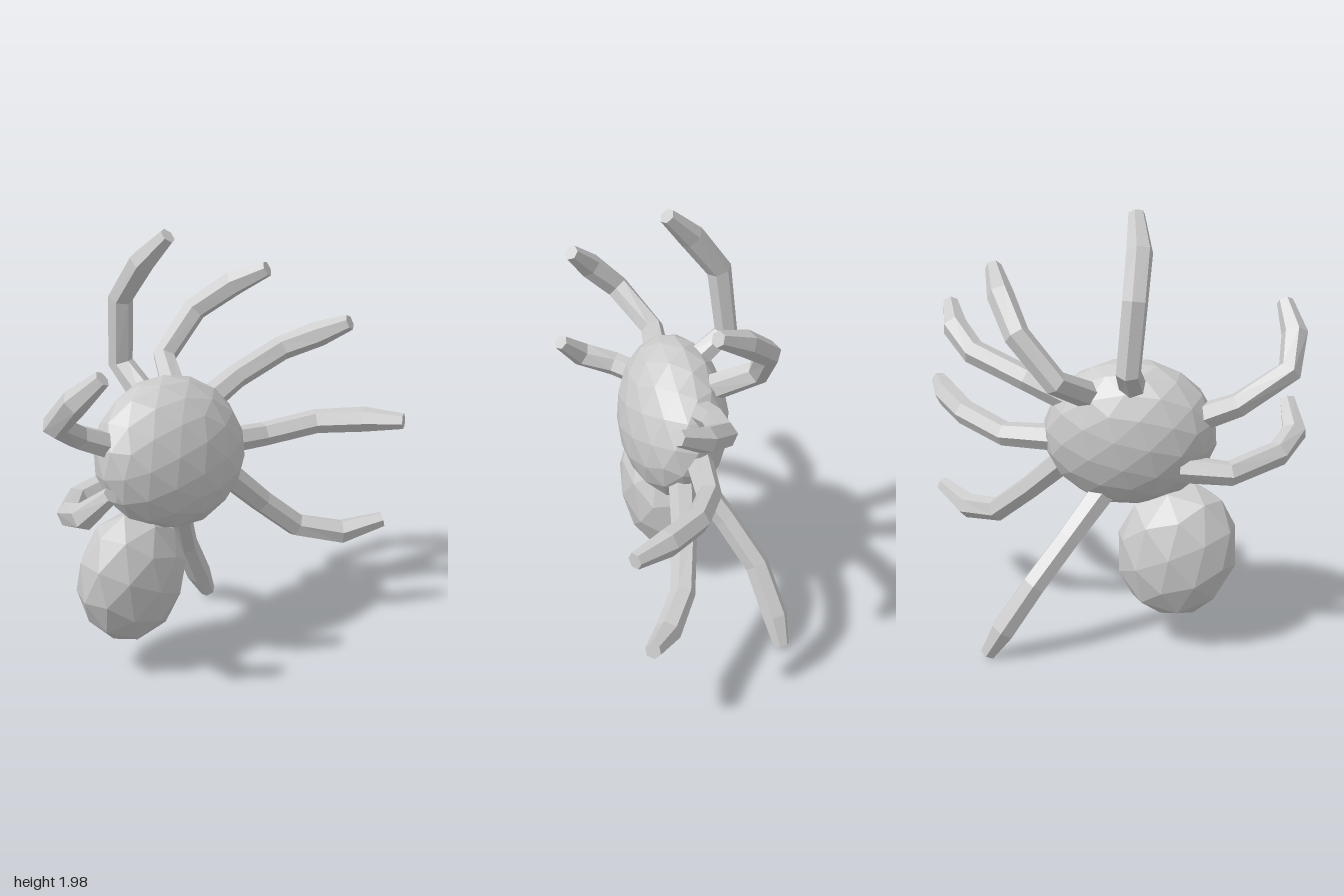
import * as THREE from 'three';

const material = new THREE.MeshStandardMaterial({ color: 0xcccccc, flatShading: true });

// Faceted ellipsoid for the two body segments
function blob(name, detail, radii, position, tilt) {
  const mesh = new THREE.Mesh(new THREE.IcosahedronGeometry(1, detail), material);
  mesh.name = name;
  mesh.scale.set(...radii);
  mesh.position.set(...position);
  mesh.rotation.set(...tilt);
  return mesh;
}

// Low-poly limb: one ring of sides at each joint, with pointed ends
function limb(name, joints, radii) {
  const SIDES = 6;
  const points = joints.map(p => new THREE.Vector3(...p));
  const n = points.length;
  const positions = [];
  const index = [];
  const normal = new THREE.Vector3();
  points.forEach((p, i) => {
    const dir = points[Math.min(i + 1, n - 1)].clone().sub(points[Math.max(i - 1, 0)]).normalize();
    // Carry the ring's direction along the limb to avoid twisting
    if (i === 0) normal.set(0, 0, 1);
    normal.addScaledVector(dir, -normal.dot(dir)).normalize();
    const side = dir.clone().cross(normal);
    for (let s = 0; s < SIDES; s++) {
      const a = (s / SIDES) * Math.PI * 2;
      const v = p.clone()
        .addScaledVector(normal, Math.cos(a) * radii[i])
        .addScaledVector(side, Math.sin(a) * radii[i]);
      positions.push(v.x, v.y, v.z);
    }
  });
  for (let i = 0; i < n - 1; i++) {
    for (let s = 0; s < SIDES; s++) {
      const a = i * SIDES + s;
      const b = i * SIDES + (s + 1) % SIDES;
      index.push(a, b, b + SIDES, a, b + SIDES, a + SIDES);
    }
  }
  // End caps
  const start = positions.length / 3;
  positions.push(...joints[0], ...joints[n - 1]);
  for (let s = 0; s < SIDES; s++) {
    const t = (s + 1) % SIDES;
    index.push(start, t, s);
    index.push(start + 1, (n - 1) * SIDES + s, (n - 1) * SIDES + t);
  }
  const geometry = new THREE.BufferGeometry();
  geometry.setAttribute('position', new THREE.Float32BufferAttribute(positions, 3));
  geometry.setIndex(index);
  geometry.computeVertexNormals();
  const mesh = new THREE.Mesh(geometry, material);
  mesh.name = name;
  return mesh;
}

export function createModel() {
  const model = new THREE.Group();
  model.name = 'spider';

  model.add(blob('thorax', 2, [0.39, 0.34, 0.235], [-0.15, 1.0, -0.045], [-0.15, 0, -0.25]));
  model.add(blob('abdomen', 1, [0.27, 0.32, 0.195], [-0.37, 0.475, -0.06], [0.1, 0, 0.2]));

  // Joints of each leg, from the body out to the foot
  const legs = {
    topLeg: [[-0.19, 1.22, -0.14], [-0.2, 1.36, -0.31], [-0.22, 1.66, -0.28], [-0.21, 1.84, -0.15], [-0.17, 1.97, -0.03]],
    leftLeg1: [[-0.02, 1.18, -0.14], [0.1, 1.31, -0.36], [0.27, 1.5, -0.34], [0.38, 1.63, -0.2], [0.45, 1.71, -0.06]],
    leftLeg2: [[0.08, 1.14, -0.1], [0.3, 1.23, -0.1], [0.55, 1.32, -0.06], [0.67, 1.39, 0.06], [0.73, 1.46, 0.19]],
    leftLeg3: [[0.12, 0.96, -0.08], [0.42, 0.94, -0.04], [0.64, 0.98, 0.08], [0.78, 1.0, 0.25], [0.87, 1.01, 0.41]],
    leftLeg4: [[0.12, 0.86, -0.01], [0.33, 0.66, 0.04], [0.5, 0.51, 0.1], [0.68, 0.46, 0.22], [0.84, 0.51, 0.33]],
    leftLeg5: [[-0.05, 0.74, -0.1], [0.08, 0.55, -0.23], [0.21, 0.36, -0.34], [0.34, 0.15, -0.39], [0.41, 0.03, -0.4]],
    rightLeg1: [[-0.44, 1.09, -0.07], [-0.63, 1.18, -0.09], [-0.83, 1.31, 0.02], [-0.83, 1.44, 0.15], [-0.77, 1.55, 0.25]],
    rightLeg2: [[-0.4, 0.89, -0.15], [-0.61, 0.88, -0.13], [-0.79, 0.92, 0.05], [-0.84, 0.97, 0.2], [-0.79, 1.08, 0.31]],
  };
  const radii = [0.062, 0.055, 0.056, 0.058, 0.036];
  for (const [name, joints] of Object.entries(legs)) model.add(limb(name, joints, radii));

  return model;
}
